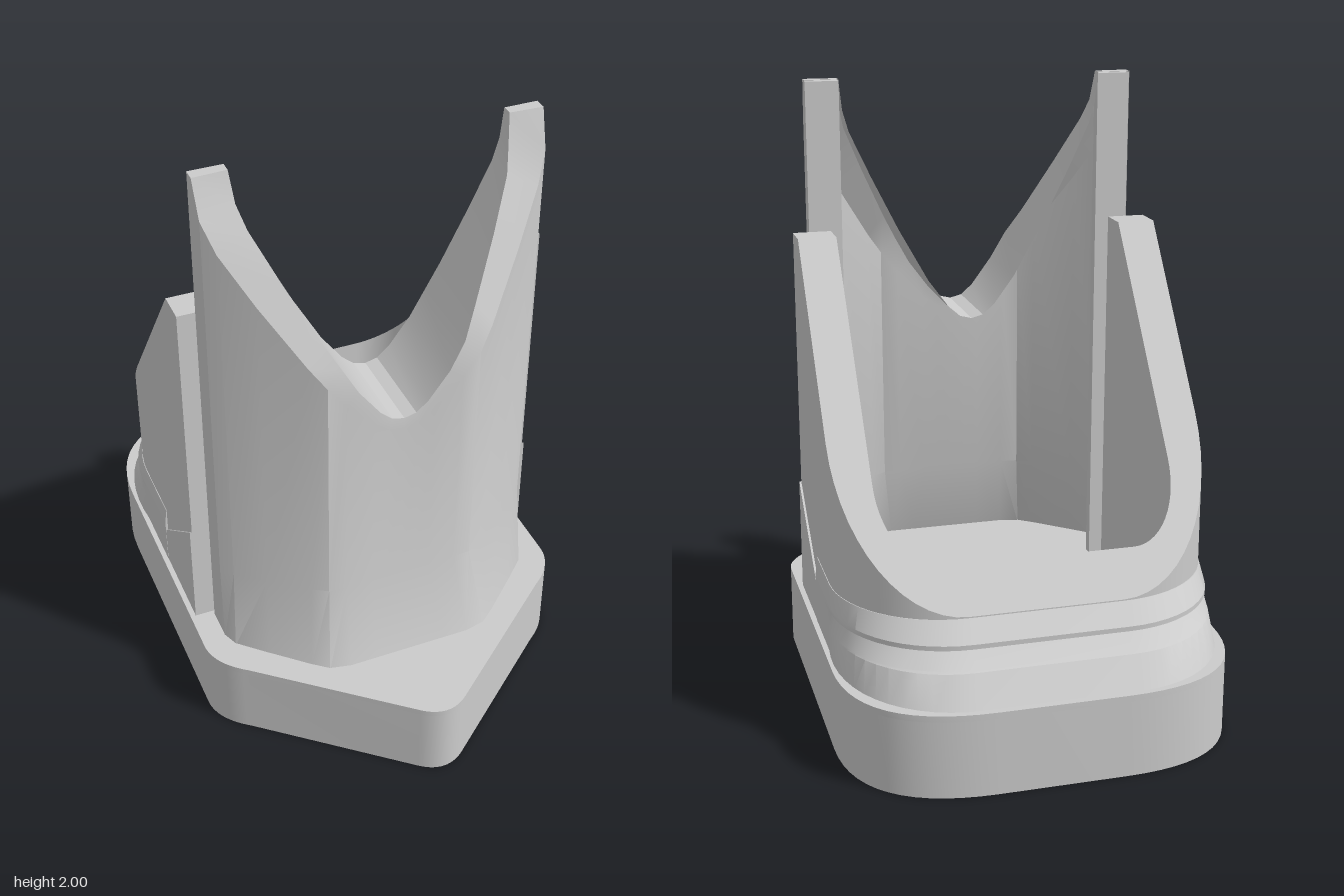
import * as THREE from 'three';
import { toCreasedNormals } from 'three/addons/utils/BufferGeometryUtils.js';

const grey = new THREE.MeshStandardMaterial({ color: 0xcccccc });
const greyThin = new THREE.MeshStandardMaterial({ color: 0xcccccc, side: THREE.DoubleSide });

function addMesh(group, name, geometry, material = grey) {
  const mesh = new THREE.Mesh(geometry, material);
  mesh.name = name;
  group.add(mesh);
}

// Skin a row of cross-sections; closed ones wrap round and get end caps
function loft(sections, closed) {
  const n = sections[0].length;
  const index = [];
  for (let i = 0; i < sections.length - 1; i++) {
    for (let j = 0; j < (closed ? n : n - 1); j++) {
      const a = i * n + j, b = i * n + (j + 1) % n;
      index.push(a, a + n, b + n, a, b + n, b);
    }
  }
  const last = (sections.length - 1) * n;
  for (let j = 1; closed && j < n - 1; j++) {
    index.push(0, j, j + 1, last, last + j + 1, last + j);
  }
  const geometry = new THREE.BufferGeometry();
  geometry.setAttribute('position', new THREE.Float32BufferAttribute(sections.flat(2), 3));
  geometry.setIndex(index);
  return toCreasedNormals(geometry, 0.45);
}

// Base outline: rounded back, straight sides, blunt point at the front (shape y = -z)
function trace(path, s = 0) {
  const x = 0.63 - s, z = 0.895 - s;
  path.moveTo(-x, -0.33);
  path.quadraticCurveTo(-x, -0.42, -0.53, -0.49 + s);
  path.lineTo(-0.08, -0.86 + s);
  path.quadraticCurveTo(0, -z - 0.03, 0.08, -0.86 + s);
  path.lineTo(0.53, -0.49 + s);
  path.quadraticCurveTo(x, -0.42, x, -0.33);
  path.lineTo(x, 0.5);
  path.bezierCurveTo(x, 0.77, 0.48, z, 0.2, z);
  path.lineTo(-0.2, z);
  path.bezierCurveTo(-0.48, z, -x, 0.77, -x, 0.5);
  path.closePath();
  return path;
}

function slab(shape, depth, y) {
  const geometry = new THREE.ExtrudeGeometry(shape, { depth, bevelEnabled: false, curveSegments: 14 });
  geometry.rotateX(-Math.PI / 2).translate(0, y, 0);
  return toCreasedNormals(geometry, 0.6);
}

// U-shaped path from the +x front end round the back to the -x front end
function uPath(x, zBack, r) {
  const half = [];
  for (const z of [0.185, 0.08, -0.02, -0.12]) half.push([x, z, 1, 0]);
  for (let i = 0; i <= 14; i++) {
    const a = i / 14 * Math.PI / 2, c = Math.cos(a), s = Math.sin(a);
    half.push([x - r + r * c, zBack + r - r * s, c, -s]);
  }
  return [...half, ...half.slice().reverse().map(([px, pz, nx, nz]) => [-px, pz, -nx, nz])];
}

export function createModel() {
  const model = new THREE.Group();

  // Hollow base: thin skirt wall under a deck
  const skirt = trace(new THREE.Shape());
  skirt.holes.push(trace(new THREE.Path(), 0.012));
  addMesh(model, 'baseSkirt', slab(skirt, 0.25, 0));
  addMesh(model, 'baseDeck', slab(trace(new THREE.Shape()), 0.02, 0.25));

  // Rear cradle wall with a sloping top
  const cut = z => Math.min(1.51, 1.51 + 1.28 * (z - 0.08));
  const outer = uPath(0.605, -0.71, 0.36);
  const inner = uPath(0.48, -0.61, 0.17);
  addMesh(model, 'rearCradle', loft(outer.map(([x, z], i) => {
    const [u, w] = inner[i];
    return [[x, 0.26, z], [x, cut(z), z], [u, cut(w), w], [u, 0.26, w]];
  }), true));

  // Stepped grip ridges wrapped round the foot of the cradle: [height, overhang]
  const steps = [[0.26, 0.17], [0.36, 0.095], [0.365, 0.085], [0.415, 0.025], [0.42, 0.06],
    [0.435, 0.06], [0.495, 0.002], [0.495, -0.03], [0.26, -0.03]];
  addMesh(model, 'gripRidges', loft(outer.slice(3, -3).map(([x, z, nx, nz]) =>
    steps.map(([y, d]) => [
      x + nx * (Math.min(d, 0.008) + 0.4 * Math.max(d, 0) * Math.abs(nz)), y, z + nz * d,
    ])), true));

  // Shallow triangular gussets on both sides
  const triangle = new THREE.Shape([[-0.185, 0.26], [0.24, 0.26], [0.24, 0.31], [-0.185, 0.65]]
    .map(p => new THREE.Vector2(...p)));
  for (const side of [-1, 1]) {
    const geometry = new THREE.ExtrudeGeometry(triangle, { depth: 0.02, bevelEnabled: false });
    geometry.rotateY(Math.PI / 2).translate(side > 0 ? 0.592 : -0.612, 0, 0);
    addMesh(model, side > 0 ? 'leftGusset' : 'rightGusset', geometry);
  }

  // Front shield, open at the back: outer x, z, top / saddle edge x, z, top / foot x, z
  const half = [
    [0, 0.51, 1.14, 0, 0.505, 1.18, 0, 0.6],
    [0.05, 0.51, 1.155, 0.04, 0.505, 1.19, 0.06, 0.6],
    [0.1, 0.51, 1.19, 0.08, 0.505, 1.225, 0.12, 0.6],
    [0.19, 0.51, 1.28, 0.15, 0.505, 1.32, 0.21, 0.6],
    [0.25, 0.505, 1.36, 0.2, 0.495, 1.41, 0.28, 0.585],
    [0.3, 0.475, 1.43, 0.25, 0.45, 1.5, 0.33, 0.545],
    [0.42, 0.385, 1.62, 0.34, 0.37, 1.68, 0.44, 0.445],
    [0.51, 0.315, 1.78, 0.41, 0.3, 1.83, 0.53, 0.36],
    [0.545, 0.28, 1.88, 0.43, 0.26, 1.9, 0.55, 0.31],
    [0.55, 0.24, 2, 0.44, 0.235, 2, 0.55, 0.25],
    [0.55, 0.2, 2, 0.44, 0.2, 2, 0.55, 0.2],
  ];
  const section = ([ox, oz, oy, ix, iz, iy, fx, fz], s) => [
    [s * fx, 0.26, fz], [s * ox, 0.54, oz], [s * ox, oy, oz], [s * ix, iy, iz], [s * ix, iy, 0.2],
  ];
  addMesh(model, 'frontShield', loft([
    ...half.slice(1).reverse().map(row => section(row, -1)),
    ...half.map(row => section(row, 1)),
  ], false), greyThin);

  // Upright posts closing the shield's rear edges
  for (const side of [-1, 1]) {
    const post = new THREE.BoxGeometry(0.11, 1.735, 0.035);
    post.translate(side * 0.494, 1.1275, 0.2185);
    addMesh(model, side > 0 ? 'leftPost' : 'rightPost', post);
  }

  return model;
}
